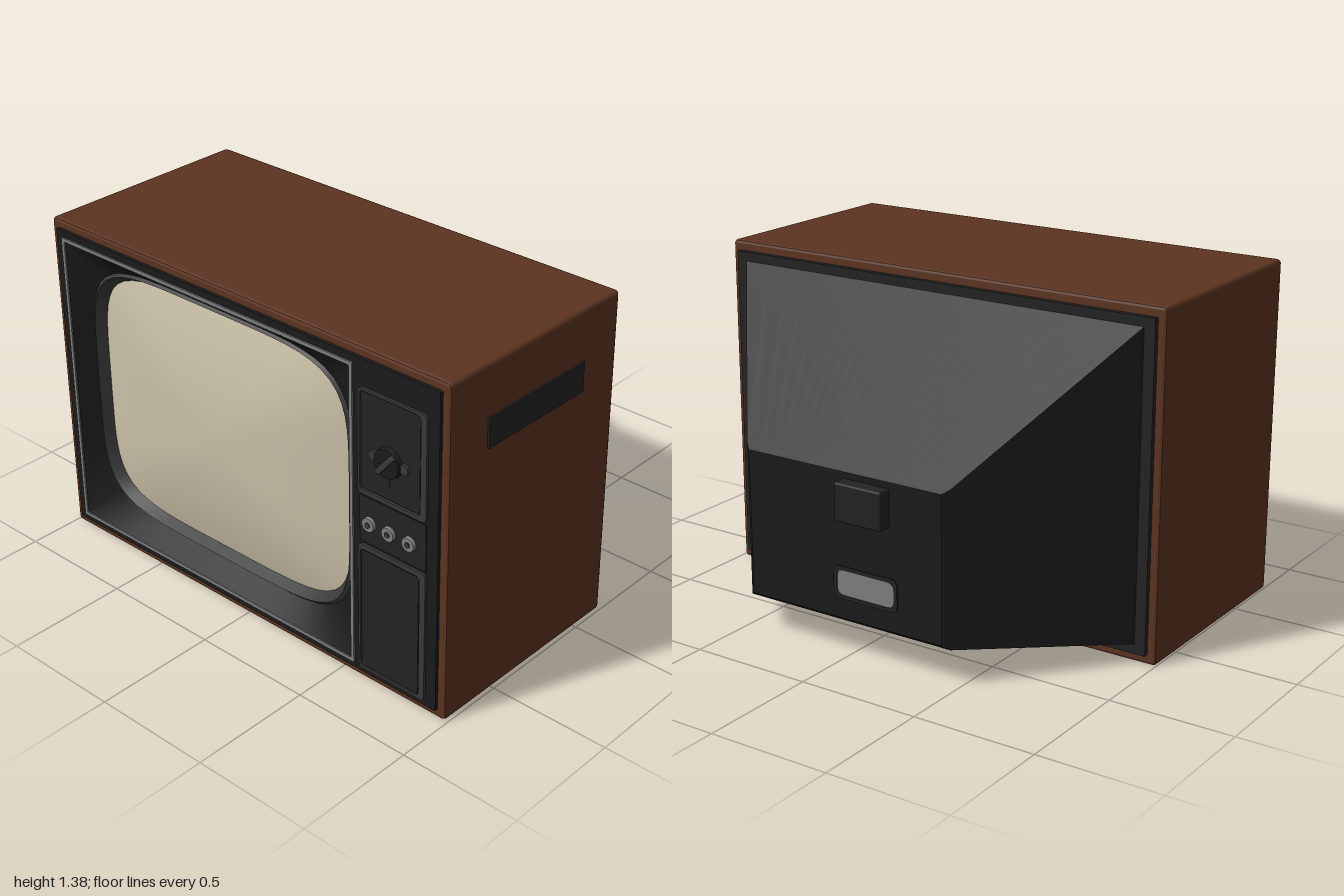
import * as THREE from 'three';
import { toCreasedNormals } from 'three/addons/utils/BufferGeometryUtils.js';
import { RoundedBoxGeometry } from 'three/addons/geometries/RoundedBoxGeometry.js';

const material = (name, color) => {
  const m = new THREE.MeshStandardMaterial({ color });
  m.name = name;
  return m;
};

export function createModel() {
  const wood = material('brown wood', 0x5c3421);
  const black = material('black plastic', 0x1b1b1b);
  const dark = material('dark panel', 0x232323);
  const charcoal = material('charcoal trim', 0x393939);
  const silver = material('silver trim', 0x808080);
  const glass = material('screen glass', 0xcbc1a8);

  const model = new THREE.Group();
  model.name = 'television';

  const add = (name, geometry, mat, x = 0, y = 0, z = 0) => {
    const mesh = new THREE.Mesh(geometry, mat);
    mesh.name = name;
    mesh.position.set(x, y, z);
    model.add(mesh);
    return mesh;
  };

  // Box given by its limits, with softened edges when r > 0
  const box = (name, mat, [x0, x1], [y0, y1], [z0, z1], r = 0) => {
    const size = [x1 - x0, y1 - y0, z1 - z0];
    const g = r ? new RoundedBoxGeometry(...size, 2, r) : new THREE.BoxGeometry(...size);
    return add(name, g, mat, (x0 + x1) / 2, (y0 + y1) / 2, (z0 + z1) / 2);
  };

  const roundedRect = (path, [x0, x1, y0, y1], r) => {
    path.moveTo(x0 + r, y0);
    path.lineTo(x1 - r, y0);
    path.quadraticCurveTo(x1, y0, x1, y0 + r);
    path.lineTo(x1, y1 - r);
    path.quadraticCurveTo(x1, y1, x1 - r, y1);
    path.lineTo(x0 + r, y1);
    path.quadraticCurveTo(x0, y1, x0, y1 - r);
    path.lineTo(x0, y0 + r);
    path.quadraticCurveTo(x0, y0, x0 + r, y0);
    return path;
  };

  // Flat frame: outer and inner limits, extruded from z0 to z1
  const frame = (name, mat, outer, inner, z0, z1, r = 0.005, bevel = 0) => {
    const [a, b, c, d] = outer;
    const shape = roundedRect(new THREE.Shape(), [a + bevel, b - bevel, c + bevel, d - bevel], r);
    shape.holes.push(roundedRect(new THREE.Path(), inner, r));
    const g = new THREE.ExtrudeGeometry(shape, {
      depth: z1 - z0 - 2 * bevel, curveSegments: 4,
      bevelEnabled: bevel > 0, bevelSize: bevel, bevelThickness: bevel, bevelSegments: 2,
    });
    return add(name, g, mat, 0, 0, z0 + bevel);
  };

  // Surface through superelliptical sections; power Infinity gives a rectangle
  const SEGMENTS = 96;
  const section = (x, y, z, halfW, halfH, power = Infinity) => ({ x, y, z, halfW, halfH, power });
  const loft = (name, mat, sections, crease = 0.5) => {
    const positions = [], index = [];
    sections.forEach((s, row) => {
      for (let i = 0; i < SEGMENTS; i++) {
        const t = (i / SEGMENTS) * Math.PI * 2;
        const c = Math.cos(t), n = Math.sin(t), ac = Math.abs(c), an = Math.abs(n);
        const k = s.power === Infinity ? Math.max(ac, an)
          : (ac ** s.power + an ** s.power) ** (1 / s.power);
        positions.push(s.x + (s.halfW * c) / k, s.y + (s.halfH * n) / k, s.z);
        if (row === 0) continue;
        const j = (i + 1) % SEGMENTS, p = (row - 1) * SEGMENTS, q = row * SEGMENTS;
        index.push(p + i, p + j, q + j, p + i, q + j, q + i);
      }
    });
    const g = new THREE.BufferGeometry();
    g.setAttribute('position', new THREE.Float32BufferAttribute(positions, 3));
    g.setIndex(index);
    return add(name, toCreasedNormals(g, crease), mat);
  };

  // Wooden cabinet shell and side vent
  frame('cabinet', wood, [-1, 0.99, 0, 1.375], [-0.955, 0.945, 0.045, 1.33], -0.16, 0.765, 0.006, 0.012);
  box('sideVent', dark, [0.98, 0.998], [1.05, 1.17], [0.04, 0.57]);

  // Front plate with an opening for the screen
  frame('frontPlate', black, [-0.965, 0.955, 0.035, 1.34], [-0.915, 0.555, 0.075, 1.295], 0.6, 0.778);
  frame('screenTrim', silver, [-0.932, 0.568, 0.06, 1.312], [-0.918, 0.554, 0.074, 1.298], 0.76, 0.784);

  // Sloping surround, lip and bulging screen
  const cx = -0.175, cy = 0.695;
  loft('screenSurround', black, [
    section(-0.18, 0.686, 0.779, 0.736, 0.612),
    section(cx, cy, 0.715, 0.685, 0.548, 5),
  ]);
  loft('screenLip', charcoal, [
    section(cx, cy, 0.715, 0.685, 0.548, 5),
    section(cx, cy, 0.725, 0.672, 0.538, 5),
    section(cx, cy, 0.685, 0.645, 0.515, 5),
  ], 1);
  const rings = [];
  for (let i = 0; i <= 10; i++) {
    const s = 1 - i / 10;
    rings.push(section(cx, cy, 0.685 + 0.07 * (1 - s * s), 0.645 * s, 0.515 * s, 5));
  }
  loft('screen', glass, rings, 1);

  // Control panels beside the screen
  frame('tunerPanelTrim', charcoal, [0.597, 0.908, 0.815, 1.236], [0.605, 0.882, 0.832, 1.226], 0.77, 0.788, 0.02);
  frame('lowerPanelTrim', charcoal, [0.597, 0.908, 0.06, 0.605], [0.605, 0.882, 0.07, 0.585], 0.77, 0.788, 0.02);
  box('tunerPanel', dark, [0.61, 0.877], [0.838, 1.222], [0.77, 0.784]);
  box('knobPanel', dark, [0.6, 0.905], [0.615, 0.805], [0.77, 0.782]);
  box('lowerPanel', dark, [0.61, 0.877], [0.075, 0.58], [0.77, 0.786]);

  const disc = (name, mat, x, y, z0, z1, r, sides = 32) => {
    const g = new THREE.CylinderGeometry(r * 0.92, r, z1 - z0, sides).rotateX(Math.PI / 2);
    return add(name, g, mat, x, y, (z0 + z1) / 2);
  };

  // Tuner dial with grip bar and side tabs
  disc('tunerDial', black, 0.74, 0.99, 0.78, 0.803, 0.06);
  box('tunerGrip', charcoal, [0.729, 0.751], [0.935, 1.045], [0.8, 0.815], 0.004).rotation.z = -0.7;
  for (const side of [-1, 1]) disc('tunerTab', charcoal, 0.74 + side * 0.07, 0.99, 0.78, 0.793, 0.022, 16);
  box('tunerMark', charcoal, [0.737, 0.743], [0.893, 0.92], [0.78, 0.787]);

  // Three small knobs
  for (const x of [0.648, 0.739, 0.832]) {
    disc('knob', silver, x, 0.7, 0.78, 0.795, 0.03, 12);
    disc('knobCap', charcoal, x, 0.7, 0.79, 0.799, 0.012, 12);
  }

  // Back frame and tapered rear housing
  box('backFrame', dark, [-0.965, 0.955], [0.04, 1.335], [-0.18, -0.13]);
  loft('rearHousing', black, [
    section(-0.008, 0.455, -0.755, 0, 0),
    section(-0.008, 0.455, -0.755, 0.44, 0.29),
    section(-0.008, 0.455, -0.735, 0.465, 0.307),
    section(-0.005, 0.69, -0.178, 0.917, 0.61),
  ], 0.3);

  // Rear neck cover and socket plate
  box('neckCover', dark, [-0.22, -0.01], [0.57, 0.72], [-0.81, -0.74], 0.008);
  frame('socketRim', dark, [-0.255, 0.035, 0.245, 0.375], [-0.24, 0.02, 0.26, 0.36], -0.762, -0.75, 0.03);
  const plate = new THREE.ExtrudeGeometry(
    roundedRect(new THREE.Shape(), [-0.24, 0.02, 0.26, 0.36], 0.03), { depth: 0.008, bevelEnabled: false });
  add('socketPlate', plate, silver, 0, 0, -0.759);

  return model;
}
